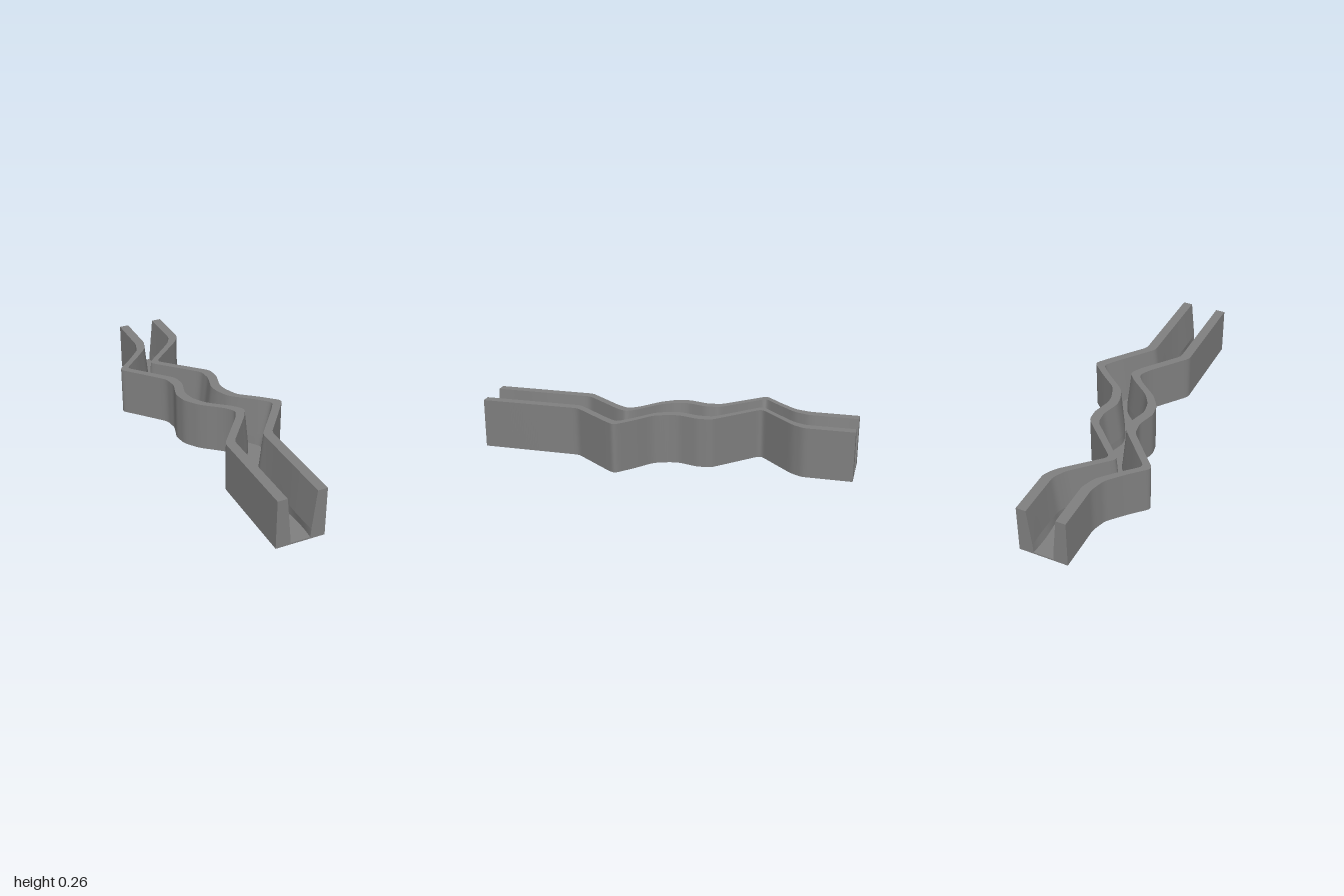
import * as THREE from 'three';

const H = 0.265, FLOOR = 0.008, STEPS = 200;

// Outer bank lines as [z, x] points
const RIGHT_BANK = [[-1, -0.13], [-0.74, -0.13], [-0.66, -0.155], [-0.57, -0.235], [-0.48, -0.327], [-0.39, -0.245],
  [-0.265, -0.135], [-0.19, -0.125], [-0.09, -0.155], [-0.015, -0.142], [0.06, -0.09], [0.15, 0.02],
  [0.2, 0.055], [0.26, 0.025], [0.46, -0.13], [1, -0.13]];
const LEFT_BANK = [[-1, 0.13], [-0.74, 0.13], [-0.68, 0.095], [-0.49, -0.1], [-0.45, -0.06], [-0.265, 0.125],
  [-0.19, 0.13], [-0.09, 0.102], [-0.04, 0.108], [0.04, 0.14], [0.12, 0.24], [0.2, 0.327],
  [0.26, 0.285], [0.46, 0.13], [1, 0.13]];

// Section around the channel: [fraction across from right bank to left bank, height, inward bulge]
const SECTION = [[0, 0, 0], [0, H, 0], [0.2, H, 0], [0.285, 0.055, 0.8], [0.295, FLOOR, 1],
  [0.705, FLOOR, -1], [0.715, 0.055, -0.8], [0.8, H, 0], [1, H, 0], [1, 0, 0]];
const NAMES = ['rightOuterWall', 'rightWallTop', 'rightChannelWall', 'rightWallFoot', 'channelFloor',
  'leftWallFoot', 'leftChannelWall', 'leftWallTop', 'leftOuterWall'];

function lerpLine(line, z) {
  for (let i = 1; i < line.length; i++) {
    const [z0, x0] = line[i - 1], [z1, x1] = line[i];
    if (z <= z1) return x0 + (x1 - x0) * Math.max(0, (z - z0) / (z1 - z0));
  }
  return line[line.length - 1][1];
}

// Slightly rounded corners: average over a short window
function bank(line, z) {
  let sum = 0;
  for (let k = -2; k <= 2; k++) sum += lerpLine(line, z + k * 0.008);
  return sum / 5;
}

// The wall foot leans in on the outside of each sharp bend and waves gently elsewhere
function lean(z, side) {
  const bend = side > 0 ? -0.48 : 0.2;
  return 0.12 * Math.exp(-(((z - bend) / 0.1) ** 2)) + 0.02 * Math.sin(Math.PI * 5 * z * side);
}

function point(z, [f, y, bulge]) {
  const a = bank(RIGHT_BANK, z), b = bank(LEFT_BANK, z);
  return [a + (b - a) * (f + bulge * lean(z, bulge)), y, z];
}

// One lengthwise surface between two neighbouring section points
function strip(p, q) {
  const pos = [], index = [];
  for (let i = 0; i <= STEPS; i++) {
    const z = -1 + (2 * i) / STEPS;
    pos.push(...point(z, p), ...point(z, q));
    if (i < STEPS) {
      const a = 2 * i;
      index.push(a, a + 2, a + 1, a + 1, a + 2, a + 3);
    }
  }
  const geo = new THREE.BufferGeometry();
  geo.setAttribute('position', new THREE.Float32BufferAttribute(pos, 3));
  geo.setIndex(index);
  geo.computeVertexNormals();
  return geo;
}

export function createModel() {
  const group = new THREE.Group();
  group.name = 'riverChannel';
  const material = new THREE.MeshStandardMaterial({ color: 0x7f7f7f, side: THREE.DoubleSide });

  const add = (name, geo) => {
    const mesh = new THREE.Mesh(geo, material);
    mesh.name = name;
    group.add(mesh);
    return mesh;
  };

  // Walls, rims and river bed; the underside is open
  NAMES.forEach((name, i) => add(name, strip(SECTION[i], SECTION[i + 1])));

  // Flat U-shaped ends
  const outline = new THREE.Shape(SECTION.map(([f, y]) => new THREE.Vector2(-0.13 + 0.26 * f, y)));
  const cap = new THREE.ShapeGeometry(outline);
  add('frontEnd', cap).position.z = 1;
  const back = add('backEnd', cap);
  back.position.z = -1;
  back.rotation.y = Math.PI;

  return group;
}
